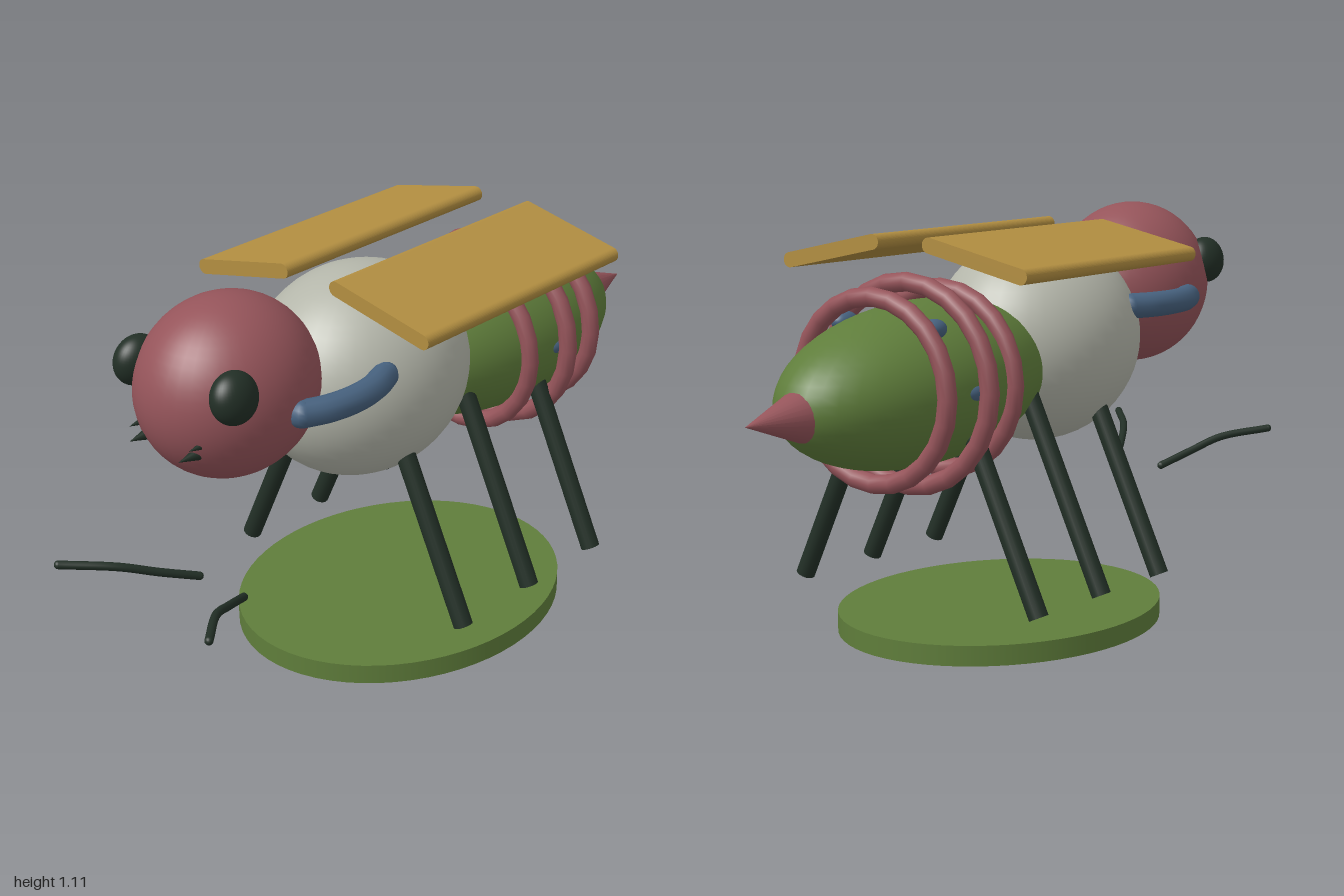
import * as THREE from 'three';

const mat = (name, color) => {
  const m = new THREE.MeshStandardMaterial({ color });
  m.name = name;
  return m;
};

export function createModel() {
  const red = mat('dusty red', 0x95545a);
  const grey = mat('pale grey', 0xb4b6aa);
  const green = mat('moss green', 0x5f7d3b);
  const blue = mat('slate blue', 0x47627f);
  const ochre = mat('ochre', 0xb28e41);
  const dark = mat('dark green', 0x222f26);

  const model = new THREE.Group();
  model.name = 'insect';

  const add = (name, geometry, material, x = 0, y = 0, z = 0) => {
    const mesh = new THREE.Mesh(geometry, material);
    mesh.name = name;
    mesh.position.set(x, y, z);
    model.add(mesh);
    return mesh;
  };
  const ellipsoid = (name, material, p, r) => {
    const mesh = add(name, new THREE.SphereGeometry(1, 40, 28), material, ...p);
    mesh.scale.set(...r);
    return mesh;
  };
  // Straight rod between two points
  const rod = (name, material, a, b, r) => {
    const d = b.clone().sub(a);
    const mesh = add(name, new THREE.CylinderGeometry(r, r, d.length(), 16), material);
    mesh.position.copy(a).add(b).multiplyScalar(0.5);
    mesh.quaternion.setFromUnitVectors(new THREE.Vector3(0, 1, 0), d.normalize());
  };
  // Curved tube with rounded ends
  const tube = (name, material, points, r) => {
    const curve = new THREE.CatmullRomCurve3(points);
    add(name, new THREE.TubeGeometry(curve, 24, r, 12), material);
    for (const p of [points[0], points[points.length - 1]]) {
      add(name + 'End', new THREE.SphereGeometry(r, 12, 10), material, p.x, p.y, p.z);
    }
  };
  // Forward or backward pointing spike
  const spike = (name, material, r, length, x, y, z, dir) => {
    const mesh = add(name, new THREE.ConeGeometry(r, length, 24), material, x, y, z);
    mesh.rotation.x = dir * Math.PI / 2;
  };

  // Base disc
  add('base', new THREE.CylinderGeometry(1, 1, 0.054, 64), green, 0, 0.027, -0.004)
    .scale.set(0.41, 1, 0.495);

  // Body
  ellipsoid('head', red, [0, 0.88, 0.635], [0.215, 0.232, 0.245]);
  ellipsoid('thorax', grey, [0, 0.765, 0.16], [0.27, 0.283, 0.32]);
  ellipsoid('abdomen', green, [0, 0.703, -0.365], [0.235, 0.21, 0.48]).rotation.x = -0.05;
  spike('stinger', red, 0.07, 0.2, 0, 0.675, -0.9, -1);

  // Abdomen rings
  for (const [z, r] of [[-0.265, 0.237], [-0.403, 0.263], [-0.54, 0.237]]) {
    add('abdomenRing', new THREE.TorusGeometry(r, 0.025, 12, 24), red, 0, 0.702, z);
  }

  // Wing cross-section: a flat bar with rounded long edges
  const halfWidth = 0.145, t = 0.02;
  const wingShape = new THREE.Shape();
  wingShape.moveTo(-halfWidth, -t);
  wingShape.lineTo(halfWidth, -t);
  wingShape.absarc(halfWidth, 0, t, -Math.PI / 2, Math.PI / 2, false);
  wingShape.lineTo(-halfWidth, t);
  wingShape.absarc(-halfWidth, 0, t, Math.PI / 2, Math.PI * 1.5, false);
  const wingGeometry = new THREE.ExtrudeGeometry(wingShape, {
    depth: 0.775, bevelEnabled: false, curveSegments: 10,
  });

  for (const s of [1, -1]) {
    const side = s > 0 ? 'left' : 'right';
    const v = (x, y, z) => new THREE.Vector3(s * x, y, z);

    add(side + 'Wing', wingGeometry, ochre, s * 0.233, 1.032, -0.43).rotation.z = -s * 0.213;

    // Face
    ellipsoid(side + 'Eye', dark, [s * 0.167, 0.942, 0.775], [0.049, 0.066, 0.066])
      .rotation.z = s * 0.15;
    spike(side + 'Mandible', dark, 0.018, 0.07, s * 0.085, 0.787, 0.85, 1);
    spike(side + 'SmallMandible', dark, 0.011, 0.05, s * 0.103, 0.815, 0.843, 1);

    // Side arms joining head and thorax
    tube(side + 'Arm', blue, [
      v(0.215, 0.852, 0.6), v(0.243, 0.852, 0.53), v(0.253, 0.852, 0.45),
      v(0.243, 0.852, 0.37), v(0.215, 0.852, 0.3),
    ], 0.035);

    // Antennae
    tube(side + 'Antenna', dark, [
      v(0.08, 0.33, 0.685), v(0.125, 0.365, 0.78), v(0.175, 0.4, 0.87), v(0.27, 0.42, 0.985),
    ], 0.011);

    // Legs
    for (const z of [0.19, -0.09, -0.37]) {
      rod(side + 'Leg', dark, v(0.39, 0.143, z), v(0.146, 0.67, z), 0.026);
    }

    // Abdomen spots
    ellipsoid(side + 'UpperSpot', blue, [s * 0.145, 0.862, -0.478], [0.029, 0.026, 0.041]);
    ellipsoid(side + 'LowerSpot', blue, [s * 0.212, 0.702, -0.405], [0.029, 0.026, 0.05]);
  }

  return model;
}
